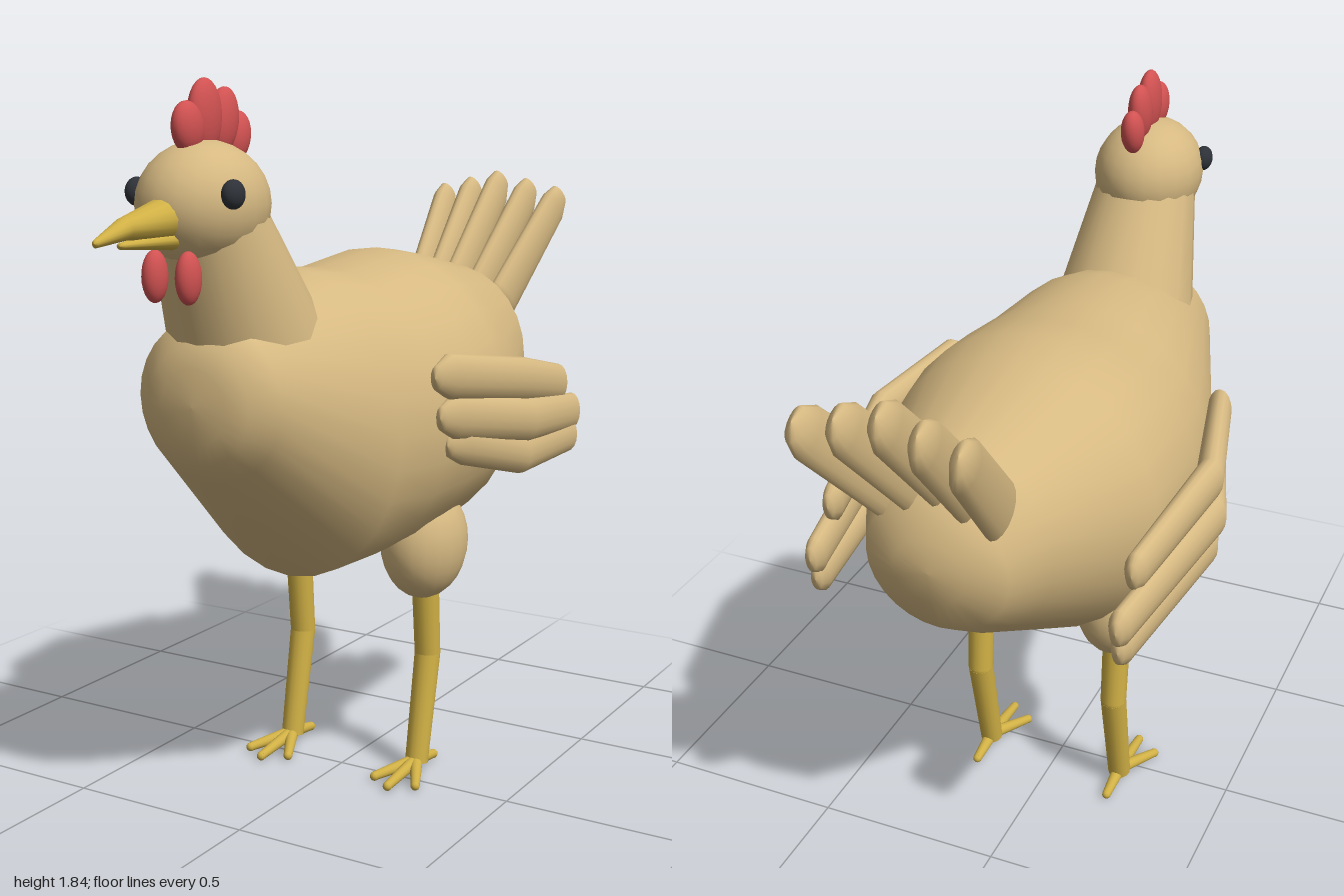
import * as THREE from 'three';

const mat = (name, color, extra = {}) => {
  const m = new THREE.MeshStandardMaterial({ color, ...extra });
  m.name = name;
  return m;
};

// Loft of ellipses stacked from front to back: [z, y, halfHeight, x, halfWidth]
function loft(sections, n = 20) {
  const pos = [], idx = [];
  sections.forEach(([z, y, ry, x, rx]) => {
    for (let j = 0; j < n; j++) {
      const t = (j / n) * Math.PI * 2;
      pos.push(x + rx * Math.cos(t), y + ry * Math.sin(t), z);
    }
  });
  for (let i = 0; i < sections.length - 1; i++) {
    for (let j = 0; j < n; j++) {
      const a = i * n + j, b = i * n + ((j + 1) % n), c = a + n, d = b + n;
      idx.push(a, c, b, b, c, d);
    }
  }
  const g = new THREE.BufferGeometry();
  g.setAttribute('position', new THREE.Float32BufferAttribute(pos, 3));
  g.setIndex(idx);
  g.computeVertexNormals();
  return g;
}

export function createModel() {
  const model = new THREE.Group();
  model.name = 'hen';
  const plumage = mat('plumage tan', 0xd6b982);
  const horn = mat('horn yellow', 0xd0b045);
  const red = mat('comb red', 0xd25252);
  const dark = mat('eye dark', 0x2e3238);

  const add = (name, geometry, material, parent = model) => {
    const m = new THREE.Mesh(geometry, material);
    m.name = name;
    parent.add(m);
    return m;
  };
  const ball = (name, material, [x, y, z], [rx, ry, rz], tilt = 0) => {
    const m = add(name, new THREE.SphereGeometry(1, 20, 14), material);
    m.position.set(x, y, z);
    m.scale.set(rx, ry, rz);
    m.rotation.x = tilt;
    return m;
  };
  // Tapered rod from point p to point q
  const rod = (name, material, p, q, r1, r2, parent = model) => {
    const a = new THREE.Vector3(...p), b = new THREE.Vector3(...q);
    const dir = b.clone().sub(a);
    const m = add(name, new THREE.CylinderGeometry(r2, r1, dir.length(), 16), material, parent);
    m.position.copy(a).add(b).multiplyScalar(0.5);
    m.quaternion.setFromUnitVectors(new THREE.Vector3(0, 1, 0), dir.normalize());
    return m;
  };

  // Body
  add('body', loft([
    [0.67, 1.1, 0, 0, 0],
    [0.665, 1.1, 0.09, 0, 0.09],
    [0.645, 1.1, 0.14, 0, 0.14],
    [0.6, 1.105, 0.195, 0, 0.2],
    [0.26, 0.995, 0.395, 0, 0.325],
    [0.1, 0.99, 0.385, 0, 0.37],
    [-0.05, 1.0, 0.39, 0, 0.388],
    [-0.18, 1.01, 0.395, 0, 0.385],
    [-0.29, 1.008, 0.383, 0, 0.37],
    [-0.62, 1.075, 0.25, 0, 0.24],
    [-0.73, 1.075, 0.17, 0, 0.18],
    [-0.772, 1.08, 0.08, 0, 0.09],
    [-0.777, 1.08, 0, 0, 0],
  ], 28), plumage);

  // Neck and head
  rod('neck', plumage, [0, 1.22, 0.44], [0, 1.55, 0.61], 0.19, 0.13);
  ball('head', plumage, [0, 1.56, 0.61], [0.145, 0.145, 0.175]);

  // Beak
  add('upperBeak', loft([
    [1.0, 1.497, 0, 0, 0],
    [0.995, 1.497, 0.009, 0, 0.009],
    [0.9, 1.522, 0.025, 0, 0.028],
    [0.76, 1.537, 0.047, 0, 0.05],
    [0.74, 1.537, 0, 0, 0],
  ], 14), horn);
  add('lowerBeak', loft([
    [0.915, 1.486, 0, 0, 0],
    [0.91, 1.486, 0.008, 0, 0.012],
    [0.74, 1.49, 0.025, 0, 0.038],
    [0.72, 1.49, 0, 0, 0],
  ], 14), horn);

  // Comb lobes: z, y, half height, half length, tilt
  [
    [0.665, 1.73, 0.06, 0.048, 0.2],
    [0.6, 1.755, 0.085, 0.055, 0],
    [0.53, 1.745, 0.077, 0.05, -0.2],
    [0.475, 1.708, 0.06, 0.04, -0.25],
  ].forEach(([z, y, ry, rz, t]) => ball('combLobe', red, [0, y, z], [0.03, ry, rz], t));

  // Paired parts; s = 1 is the left side
  for (const s of [1, -1]) {
    const side = s > 0 ? 'left' : 'right';
    ball(side + 'Eye', dark, [s * 0.132, 1.588, 0.682], [0.024, 0.033, 0.033]);
    ball(side + 'Wattle', red, [s * 0.046, 1.405, 0.735], [0.027, 0.06, 0.036]);

    // Wing: three bent feathers
    const wing = new THREE.Group();
    wing.name = side + 'Wing';
    model.add(wing);
    // front z, y; bend y, x; rear z, y; half height
    [
      [0.18, 1.13, 1.09, 0.45, -0.54, 1.025, 0.057],
      [0.15, 1.025, 0.985, 0.462, -0.637, 0.93, 0.057],
      [0.11, 0.95, 0.895, 0.445, -0.62, 0.865, 0.054],
    ].forEach(([zf, yf, ym, xm, zr, yr, h]) => {
      const xf = 0.37, xr = 0.395;
      add('wingFeather', loft([
        [zf, yf, 0, s * xf, 0],
        [zf - 0.008, yf, h * 0.55, s * xf, 0.016],
        [zf - 0.05, yf, h, s * (xf + 0.012), 0.032],
        [-0.15, ym, h, s * xm, 0.036],
        [zr + 0.03, yr, h * 0.9, s * xr, 0.028],
        [zr + 0.006, yr, h * 0.6, s * xr, 0.016],
        [zr, yr, 0, s * xr, 0],
      ], 16), plumage, wing);
    });

    // Leg
    const x = s * 0.2;
    ball(side + 'Thigh', plumage, [x, 0.64, -0.095], [0.11, 0.155, 0.14]);
    const leg = new THREE.Group();
    leg.name = side + 'Leg';
    model.add(leg);
    rod('upperShank', horn, [x, 0.56, -0.1], [x, 0.32, -0.12], 0.037, 0.035, leg);
    rod('lowerShank', horn, [x, 0.32, -0.12], [x, 0.025, -0.062], 0.035, 0.031, leg);
    const knee = add('knee', new THREE.SphereGeometry(0.035, 16, 10), horn, leg);
    knee.position.set(x, 0.32, -0.12);

    // Toes: three forward, one back
    [[0, 0.1], [0.062, 0.06], [-0.062, 0.06], [0, -0.16]].forEach(([dx, z]) => {
      rod('toe', horn, [x, 0.03, -0.06], [x + dx, 0.013, z], 0.018, 0.012, leg);
      const tip = add('toeTip', new THREE.SphereGeometry(0.0125, 10, 8), horn, leg);
      tip.position.set(x + dx, 0.0125, z);
    });
  }

  // Tail fan of five upright feathers
  const tail = new THREE.Group();
  tail.name = 'tail';
  model.add(tail);
  const feather = loft([
    [0.06, 0, 0, 0, 0],
    [0.05, 0, 0.045, 0, 0.018],
    [0.01, 0, 0.072, 0, 0.032],
    [-0.34, 0, 0.062, 0, 0.03],
    [-0.39, 0, 0.042, 0, 0.02],
    [-0.405, 0, 0, 0, 0],
  ], 16);
  for (let i = -2; i <= 2; i++) {
    const f = add('tailFeather', feather, plumage, tail);
    const drop = Math.abs(i) * 0.02;
    f.position.set(i * 0.07, 1.275 - drop, -0.677 - drop * 0.4);
    f.rotation.set(0.8, -i * 0.06, 0);
  }
  return model;
}
